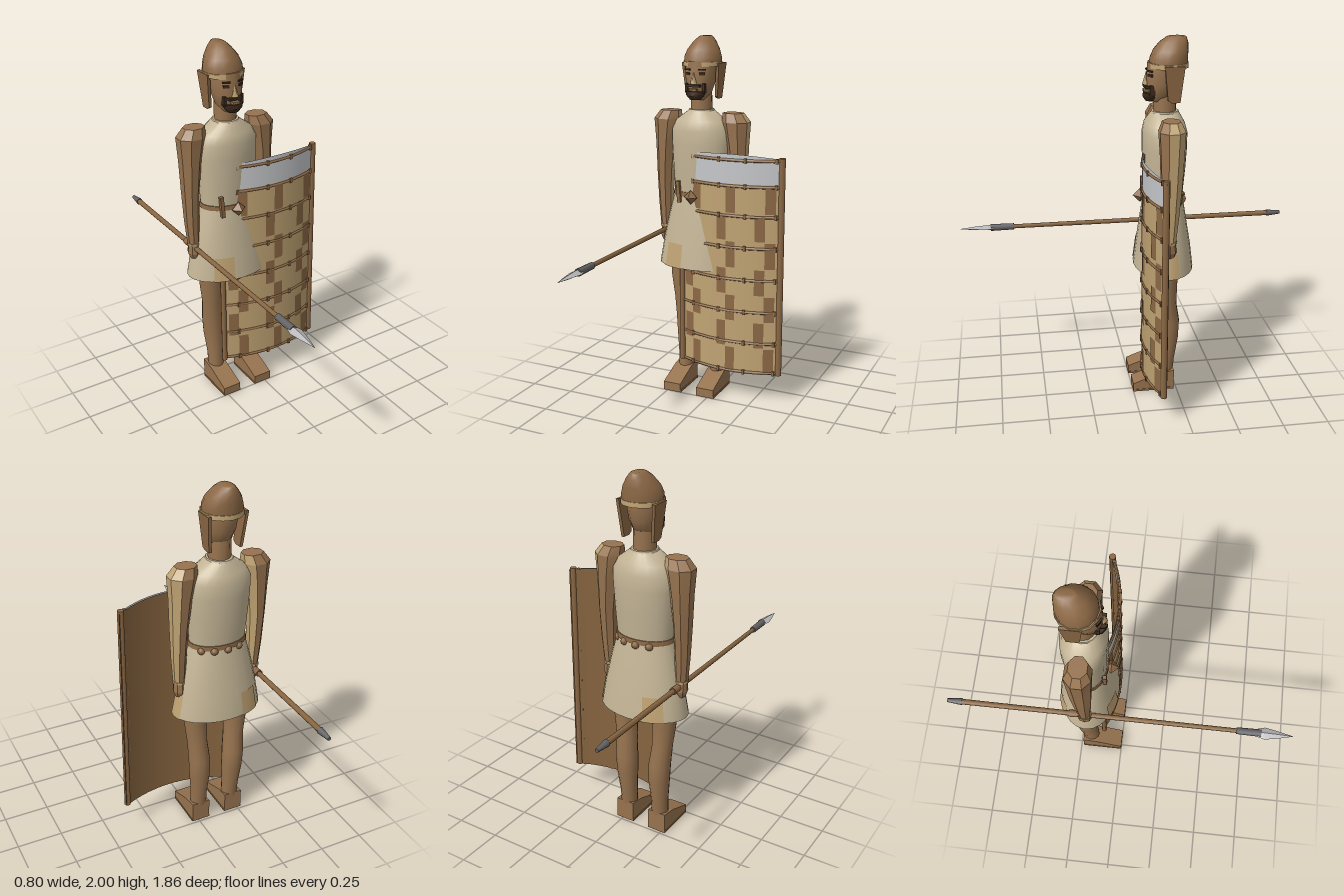
import * as THREE from 'three';
import { toCreasedNormals } from 'three/addons/utils/BufferGeometryUtils.js';

const mat = (name, color, side = THREE.FrontSide) => {
  const m = new THREE.MeshStandardMaterial({ color, side });
  m.name = name;
  return m;
};

// Stacked elliptical rings [y, cx, cz, rx, rz], listed from bottom to top
function loft(rings, n, { crease = 0.7, caps = true, start = 0, arc = Math.PI * 2, groupOf } = {}) {
  const pos = [], idx = [];
  const full = arc > 6.28, cols = full ? n : n + 1;
  for (const [y, cx, cz, rx, rz] of rings)
    for (let j = 0; j < cols; j++) {
      const a = start + (j / n) * arc;
      pos.push(cx + rx * Math.sin(a), y, cz + rz * Math.cos(a));
    }
  const g = new THREE.BufferGeometry();
  for (let j = 0; j < n; j++) {
    const first = idx.length, k = (j + 1) % cols;
    for (let i = 0; i < rings.length - 1; i++) {
      const a = i * cols + j, b = i * cols + k, c = b + cols, d = a + cols;
      idx.push(a, b, c, a, c, d);
    }
    if (groupOf) g.addGroup(first, idx.length - first, groupOf(j));
  }
  if (caps && full) {
    const first = idx.length, top = (rings.length - 1) * cols;
    for (let j = 1; j < n - 1; j++) idx.push(0, j + 1, j, top, top + j, top + j + 1);
    if (groupOf) g.addGroup(first, idx.length - first, 0);
  }
  g.setAttribute('position', new THREE.Float32BufferAttribute(pos, 3));
  g.setIndex(idx);
  return toCreasedNormals(g, crease);
}

export function createModel() {
  const skin = mat('skin', 0x97734f);
  const wood = mat('wood', 0x86643f);
  const leather = mat('leather', 0x8c6845);
  const linen = mat('linen', 0xc4b596, THREE.DoubleSide);
  const tan = mat('tan', 0xc0a373, THREE.DoubleSide);
  const pale = mat('paleHide', 0xc6c7ca, THREE.DoubleSide);
  const steel = mat('steel', 0xb8b8bb);
  const iron = mat('darkIron', 0x626265);
  const hair = mat('hair', 0x3b291c);

  const model = new THREE.Group();
  const CX = -0.118;
  const add = (name, geo, m, x = 0, y = 0, z = 0, parent = model) => {
    const mesh = new THREE.Mesh(geo, m);
    mesh.name = name;
    mesh.position.set(x, y, z);
    parent.add(mesh);
    return mesh;
  };
  const box = (w, h, d) => new THREE.BoxGeometry(w, h, d);

  // Tunic with flared skirt
  add('tunicBody', loft([
    [1.15, CX, -0.185, 0.155, 0.105], [1.3, CX, -0.188, 0.165, 0.115], [1.42, CX, -0.19, 0.172, 0.12],
    [1.5, CX, -0.19, 0.172, 0.12], [1.55, CX, -0.188, 0.145, 0.108], [1.605, CX, -0.19, 0.07, 0.075],
  ], 24), linen);
  const skirt = [[0.735, CX, -0.188, 0.25, 0.165], [0.87, CX, -0.188, 0.225, 0.148],
    [1.02, CX, -0.186, 0.19, 0.125], [1.15, CX, -0.185, 0.155, 0.105]];
  add('skirt', loft(skirt, 24, { caps: false }), linen);
  add('collar', loft([[1.595, CX, -0.19, 0.075, 0.08], [1.612, CX, -0.19, 0.068, 0.073]], 16), linen);
  // Hem patches spaced evenly round the skirt
  for (let i = 0; i < 3; i++)
    add('hemPatch', loft(skirt.slice(0, 2).map(([y, x, z, a, b]) => [y, x, z, a + 0.004, b + 0.004]), 4,
      { start: -0.72 - i * 2.094, arc: 0.5 }), tan);

  // Belt, knot, tabs and dagger hilt
  add('belt', loft([[1.135, CX, -0.185, 0.163, 0.113], [1.16, CX, -0.185, 0.16, 0.111]], 24), leather);
  for (const a of [2.2, 2.7, 3.2, 3.7])
    add('beltTab', new THREE.SphereGeometry(0.022, 8, 6), leather,
      CX + 0.15 * Math.sin(a), 1.13, -0.185 + 0.105 * Math.cos(a));
  add('beltKnot', new THREE.OctahedronGeometry(0.04), leather, -0.125, 1.14, -0.06);
  add('daggerHilt', box(0.02, 0.12, 0.02), leather, -0.21, 1.16, -0.085).rotation.z = 0.08;

  // Limbs, mirrored about the body axis
  for (const s of [-1, 1]) {
    const X = (d) => CX + s * d, side = s > 0 ? 'left' : 'right';
    add(side + 'Arm', loft([
      [0.93, X(0.218), -0.185, 0.032, 0.034], [1.08, X(0.222), -0.188, 0.04, 0.045],
      [1.25, X(0.222), -0.19, 0.047, 0.058], [1.42, X(0.215), -0.192, 0.06, 0.066],
      [1.55, X(0.205), -0.192, 0.08, 0.073], [1.598, X(0.187), -0.192, 0.06, 0.05],
    ], 8, { crease: 0.3, start: Math.PI / 8, groupOf: (j) => (j === 1 || j === 2 ? 1 : 0) }), [skin, tan]);
    add(side + 'Bracelet', loft([[0.935, X(0.218), -0.185, 0.037, 0.039], [0.947, X(0.218), -0.185, 0.037, 0.039]], 8), tan);
    add(side + 'Hand', loft([
      [0.855, X(0.217), -0.185, 0.024, 0.028], [0.885, X(0.217), -0.185, 0.035, 0.04], [0.932, X(0.217), -0.185, 0.032, 0.034],
    ], 8, { crease: 0.3 }), skin);

    add(side + 'Leg', loft([
      [0.1, X(0.1), -0.19, 0.045, 0.048], [0.18, X(0.1), -0.195, 0.046, 0.05], [0.32, X(0.102), -0.206, 0.058, 0.06],
      [0.42, X(0.105), -0.206, 0.06, 0.063], [0.53, X(0.112), -0.192, 0.056, 0.058],
      [0.66, X(0.12), -0.187, 0.064, 0.065], [0.95, X(0.125), -0.187, 0.07, 0.072],
    ], 14), skin);
    // Wedge shoe drawn from its side profile
    const p = new THREE.Shape([[0, 0], [0.235, 0], [0.235, 0.118], [0.15, 0.105], [0, 0.05]].map((v) => new THREE.Vector2(...v)));
    const shoe = new THREE.ExtrudeGeometry(p, { depth: 0.105, bevelEnabled: false });
    shoe.rotateY(Math.PI / 2);
    add(side + 'Shoe', shoe, skin, X(0.103) - 0.0525, 0, 0);
    add(side + 'ShoeSole', box(0.11, 0.012, 0.232), leather, X(0.103), 0.056 - 0.05, -0.118);
  }

  // Neck, head and face
  add('neck', loft([[1.56, CX, -0.19, 0.06, 0.06], [1.72, CX, -0.19, 0.056, 0.06]], 12), skin);
  add('head', loft([
    [1.665, CX, -0.155, 0.035, 0.045], [1.7, CX, -0.17, 0.062, 0.075], [1.76, CX, -0.18, 0.08, 0.092],
    [1.82, CX, -0.187, 0.086, 0.095], [1.87, CX, -0.19, 0.086, 0.095],
  ], 14), skin);
  const nose = new THREE.ConeGeometry(0.02, 0.065, 4);
  add('nose', nose, tan, CX, 1.785, -0.087);
  add('beard', loft([
    [1.668, CX, -0.11, 0.03, 0.025], [1.69, CX, -0.112, 0.05, 0.042], [1.713, CX, -0.115, 0.058, 0.042],
  ], 12), hair);
  add('moustache', box(0.075, 0.013, 0.03), hair, CX, 1.743, -0.092);
  add('lips', box(0.04, 0.012, 0.03), skin, CX, 1.722, -0.088);
  for (const s of [-1, 1]) {
    add('sideburn', box(0.014, 0.05, 0.03), hair, CX + s * 0.05, 1.73, -0.115);
    const eye = add('eye', box(0.032, 0.013, 0.009), hair, CX + s * 0.042, 1.806, -0.104);
    eye.rotation.y = s * 0.5;
    const brow = add('eyebrow', box(0.042, 0.008, 0.009), hair, CX + s * 0.042, 1.828, -0.101);
    brow.rotation.y = s * 0.5;
  }

  // Helmet leaning back, with rim and hanging cheek flaps
  add('helmet', loft([
    [1.855, CX, -0.205, 0.104, 0.104], [1.89, CX, -0.208, 0.104, 0.102], [1.93, CX, -0.217, 0.089, 0.094],
    [1.97, CX, -0.232, 0.06, 0.077], [1.995, CX, -0.245, 0.036, 0.054], [2.0, CX, -0.247, 0.028, 0.045],
  ], 14), leather);
  add('helmetRim', loft([[1.842, CX, -0.205, 0.109, 0.109], [1.866, CX, -0.205, 0.108, 0.108]], 14), tan);
  for (const s of [-1, 1]) {
    const f = new THREE.Shape([[0.17, 1.86], [0.19, 1.68], [0.21, 1.668], [0.255, 1.668], [0.275, 1.86]].map((v) => new THREE.Vector2(...v)));
    const flap = new THREE.ExtrudeGeometry(f, { depth: 0.016, bevelEnabled: false });
    flap.rotateY(Math.PI / 2);
    flap.translate(-0.008, -1.86, 0);
    add('cheekFlap', flap, leather, CX + s * 0.102, 1.86, 0).rotation.z = s * -0.09;
  }

  // Spear held level
  const rod = (name, r0, r1, z0, z1, m, n = 10) => {
    const g = new THREE.CylinderGeometry(r1, r0, z1 - z0, n);
    g.rotateX(Math.PI / 2);
    return add(name, g, m, -0.335, 0.915, (z0 + z1) / 2);
  };
  rod('spearShaft', 0.015, 0.012, -0.87, 0.66, wood);
  rod('spearGrip', 0.02, 0.018, -0.27, -0.22, leather);
  rod('spearButt', 0.01, 0.019, -0.93, -0.85, iron);
  rod('spearSocket', 0.018, 0.02, 0.63, 0.76, iron);
  const blade = loft([[0.74, 0, 0, 0.022, 0.014], [0.78, 0, 0, 0.033, 0.015], [0.85, 0, 0, 0.02, 0.01], [0.93, 0, 0, 0.001, 0.001]], 4, { crease: 0.2 });
  blade.rotateX(Math.PI / 2);
  add('spearBlade', blade, steel, -0.335, 0.915, 0);

  // Curved shield
  const shield = new THREE.Group();
  shield.name = 'shield';
  model.add(shield);
  const bulge = (x) => -0.115 + 0.072 * (1 - ((x - 0.1) / 0.3) ** 2);
  const panel = (name, x0, x1, y0, y1, off, m, arch = 0, back = false) => {
    const g = new THREE.PlaneGeometry(x1 - x0, y1 - y0, x1 - x0 > 0.2 ? 16 : 3, 1);
    if (back) g.rotateY(Math.PI);
    g.translate((x0 + x1) / 2, (y0 + y1) / 2, 0);
    const p = g.attributes.position;
    for (let i = 0; i < p.count; i++) {
      const x = p.getX(i), u = (x - 0.1) / 0.3;
      p.setZ(i, bulge(x) + off);
      if (p.getY(i) > (y0 + y1) / 2) p.setY(i, p.getY(i) + arch * (1 - u * u));
    }
    g.computeVertexNormals();
    add(name, g, m, 0, 0, 0, shield);
  };
  panel('shieldBack', -0.2, 0.4, 0.165, 1.375, -0.012, wood, 0.025, true);
  panel('shieldWeave', -0.2, 0.4, 0.165, 1.24, 0, tan);
  panel('shieldTopBand', -0.2, 0.4, 1.24, 1.375, 0, pale, 0.025);
  // Staggered weave patches
  for (let row = 0; row < 7; row++)
    for (let c = 0; c < 3; c++) {
      const x = (row % 2 ? -0.148 : -0.095) + c * 0.214, y = 0.17 + row * 0.152;
      panel('weavePatch', x - 0.027, x + 0.027, y, y + 0.145, 0.003, leather);
    }
  // Cross bars with lashings, and side poles
  for (const y of [1.368, 1.228, 1.065, 0.89, 0.71, 0.527, 0.347, 0.175]) {
    const pts = Array.from({ length: 9 }, (_, i) => -0.2 + i * 0.075).map((x) => new THREE.Vector3(x, y, bulge(x)));
    add('crossBar', new THREE.TubeGeometry(new THREE.CatmullRomCurve3(pts), 20, 0.008, 6), leather, 0, 0, 0, shield);
    for (const x of [-0.12, 0.05, 0.2, 0.36])
      add('lashing', box(0.014, 0.026, 0.02), leather, x, y, bulge(x), shield);
  }
  for (const [x, r] of [[0.385, 0.018], [-0.203, 0.015]])
    add('sidePole', new THREE.CylinderGeometry(r, r, 1.22, 8), leather, x, 0.775, -0.11, shield);

  return model;
}
